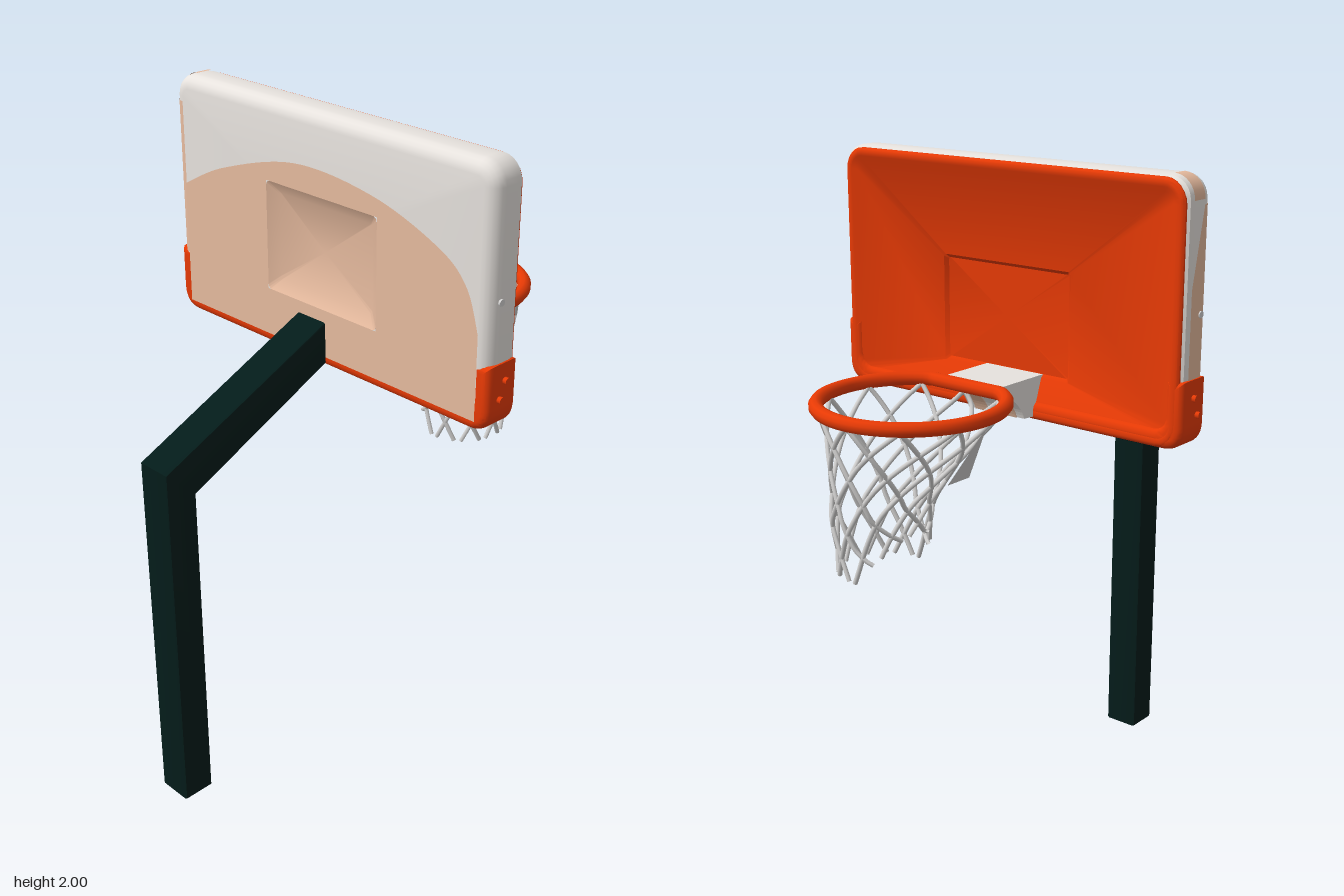
import * as THREE from 'three';
import { toCreasedNormals } from 'three/addons/utils/BufferGeometryUtils.js';

// Rounded rectangle in the z-y plane: centre, half sizes, corner radius
function roundedRing({ x, cz = 0, cy = 1.632, hz, hy, r = 0 }) {
  const pts = [];
  for (let c = 0; c < 4; c++) {
    const sz = c === 0 || c === 3 ? 1 : -1, sy = c < 2 ? 1 : -1;
    for (let i = 0; i <= 6; i++) {
      const a = (c + i / 6) * Math.PI / 2;
      pts.push([x, cy + sy * (hy - r) + r * Math.sin(a), cz + sz * (hz - r) + r * Math.cos(a)]);
    }
  }
  return pts;
}

// Skin joining successive rings
function loft(specs) {
  const rings = specs.map(roundedRing), n = rings[0].length, index = [];
  for (let i = 0; i < rings.length - 1; i++) {
    for (let j = 0; j < n; j++) {
      const a = i * n + j, b = i * n + (j + 1) % n;
      index.push(a, a + n, b, b, a + n, b + n);
    }
  }
  const g = new THREE.BufferGeometry();
  g.setAttribute('position', new THREE.Float32BufferAttribute(rings.flat(2), 3));
  g.setIndex(index);
  return toCreasedNormals(g, 0.6);
}

function polygon(points) {
  return new THREE.Shape(points.map(p => new THREE.Vector2(...p)));
}

export function createModel() {
  const group = new THREE.Group();
  const mat = (name, color, side = THREE.FrontSide) => {
    const m = new THREE.MeshStandardMaterial({ color, side });
    m.name = name;
    return m;
  };
  const orange = mat('orange', 0xff4106);
  const white = mat('off white', 0xfffaf5);
  const peach = mat('faded peach', 0xffcfb0, THREE.DoubleSide);
  const green = mat('dark green', 0x041c1a);
  const grey = mat('net grey', 0xd4d3d2, THREE.DoubleSide);
  const add = (name, geometry, material, x = 0, y = 0, z = 0) => {
    const m = new THREE.Mesh(geometry, material);
    m.name = name;
    m.position.set(x, y, z);
    group.add(m);
    return m;
  };

  // Bent pole with a sloping arm
  const pole = polygon([[-0.69, 0], [-0.59, 0], [-0.59, 1.035], [-0.08, 1.275], [-0.08, 1.405], [-0.69, 1.13]]);
  const poleGeo = new THREE.ExtrudeGeometry(pole, {
    depth: 0.099, bevelSize: 0.008, bevelThickness: 0.008, bevelOffset: -0.008, bevelSegments: 2
  });
  add('pole', toCreasedNormals(poleGeo, 0.6), green, 0, 0, -0.088);

  // Board shell with soft edges; the back is open where the square recess sits
  const square = { cz: 0, cy: 1.6, hz: 0.22, hy: 0.165, r: 0.015 };
  const shellRing = (x, inset) => ({ x, hz: 0.622 - inset, hy: 0.367 - inset, r: 0.065 - inset });
  const shell = [{ x: -0.095, ...square }];
  for (let i = 0; i <= 5; i++) {
    const a = i / 5 * Math.PI / 2;
    shell.push(shellRing(-0.055 - 0.04 * Math.cos(a), 0.04 * (1 - Math.sin(a))));
  }
  shell.push(shellRing(-0.012, 0), shellRing(0.006, 0.004), shellRing(0.015, 0.016), shellRing(0.015, 0.03));
  add('boardShell', loft(shell), white);

  // Square recess in the back
  add('backRecess', loft([
    { x: -0.075, cy: 1.6, hz: 0, hy: 0 },
    { x: -0.075, cy: 1.6, hz: 0.185, hy: 0.13, r: 0.01 },
    { x: -0.0965, ...square }
  ]), peach);

  // Faded area on the back, ending in an arch
  const faded = new THREE.Shape();
  faded.moveTo(-0.585, 1.29);
  faded.lineTo(0.585, 1.29);
  faded.lineTo(0.585, 1.54);
  faded.splineThru([[0.54, 1.66], [0.44, 1.74], [0.2, 1.82], [-0.1, 1.84], [-0.4, 1.76], [-0.585, 1.67]]
    .map(p => new THREE.Vector2(...p)));
  const hole = new THREE.Path();
  hole.moveTo(-0.22, 1.435);
  hole.lineTo(-0.22, 1.765).lineTo(0.22, 1.765).lineTo(0.22, 1.435).closePath();
  faded.holes.push(hole);
  add('fadedBack', new THREE.ShapeGeometry(faded).rotateY(-Math.PI / 2), peach, -0.0965);
  // Faded patches wrapping the rounded side edge and the upper corner
  add('fadedEdge', new THREE.CylinderGeometry(0.0415, 0.0415, 0.47, 8, 1, true, Math.PI, Math.PI / 2),
    peach, -0.055, 1.685, -0.582);
  const side = polygon([[-0.055, 1.45], [-0.008, 1.45], [-0.008, 1.7], [-0.055, 1.92]]);
  add('fadedSide', new THREE.ShapeGeometry(side), peach, 0, 0, -0.6235);
  add('fadedCorner', new THREE.CylinderGeometry(0.0665, 0.0665, 0.05, 8, 1, true, Math.PI / 2, Math.PI / 2)
    .rotateZ(Math.PI / 2), peach, -0.03, 1.934, -0.557);

  // Front panel: raised lip, then slopes falling to a stepped central square
  const face = (x, inset) => ({ x, cy: 1.628, hz: 0.615 - inset, hy: 0.367 - inset, r: 0.07 - inset });
  const target = { cz: 0.012, cy: 1.54, r: 0.008 };
  add('frontPanel', loft([
    face(0, 0.004), face(0.017, 0.004), face(0.023, 0.009), face(0.025, 0.016), face(0.024, 0.028), face(0.014, 0.042),
    { x: -0.012, ...target, hz: 0.235, hy: 0.16 },
    { x: -0.022, ...target, hz: 0.224, hy: 0.15 },
    { x: -0.022, cz: 0.012, cy: 1.54, hz: 0, hy: 0 }
  ]), orange);

  // Padding along the bottom edge and lower corners, rounded front and back
  const trim = new THREE.Shape();
  trim.moveTo(-0.628, 1.457);
  trim.lineTo(-0.628, 1.33);
  trim.quadraticCurveTo(-0.628, 1.26, -0.558, 1.26);
  trim.lineTo(0.558, 1.26);
  trim.quadraticCurveTo(0.628, 1.26, 0.628, 1.33);
  trim.lineTo(0.628, 1.457);
  trim.lineTo(0.57, 1.457);
  trim.lineTo(0.57, 1.36);
  trim.quadraticCurveTo(0.57, 1.315, 0.525, 1.315);
  trim.lineTo(-0.525, 1.315);
  trim.quadraticCurveTo(-0.57, 1.315, -0.57, 1.36);
  trim.lineTo(-0.57, 1.457);
  const trimGeo = new THREE.ExtrudeGeometry(trim, {
    depth: 0.076, bevelSize: 0.022, bevelThickness: 0.022, bevelOffset: -0.022, bevelSegments: 4
  }).rotateY(-Math.PI / 2);
  add('bottomPadding', toCreasedNormals(trimGeo, 0.6), orange, 0.002);
  // Square upper ends of the padding
  for (const s of [-1, 1]) {
    add('paddingEnd', new THREE.BoxGeometry(0.076, 0.06, 0.03), orange, -0.036, 1.427, s * 0.613);
  }

  // Side bolts
  for (const s of [-1, 1]) {
    const bolt = (x, y, z, m) => add('bolt',
      new THREE.CylinderGeometry(0.01, 0.01, 0.02, 10).rotateX(Math.PI / 2), m, x, y, s * z);
    bolt(-0.03, 1.405, 0.63, orange);
    bolt(-0.05, 1.355, 0.63, orange);
    bolt(-0.055, 1.63, 0.617, grey);
  }

  // Bracket between board and rim
  const bracket = new THREE.Shape();
  bracket.moveTo(-0.02, 1.27);
  bracket.lineTo(0.065, 1.275);
  bracket.quadraticCurveTo(0.09, 1.34, 0.17, 1.365);
  bracket.lineTo(0.17, 1.39);
  bracket.lineTo(-0.02, 1.39);
  add('bracket', new THREE.ExtrudeGeometry(bracket, { depth: 0.21, bevelEnabled: false }), white, 0, 0, -0.122);
  // Faded strips on the curved underside of the bracket
  const strip = new THREE.Shape();
  strip.moveTo(0.067, 1.274);
  strip.quadraticCurveTo(0.092, 1.338, 0.17, 1.363);
  strip.lineTo(0.17, 1.366);
  strip.quadraticCurveTo(0.089, 1.341, 0.064, 1.276);
  for (const z of [-0.095, 0.01]) {
    add('bracketStrip', new THREE.ExtrudeGeometry(strip, { depth: 0.05, bevelEnabled: false }), peach, 0, 0, z);
  }

  // Rim: a ring flattened against the bracket
  const rimPts = [];
  for (let i = 0; i < 64; i++) {
    const a = i / 64 * Math.PI * 2;
    rimPts.push(new THREE.Vector3(Math.max(0.182, 0.407 + 0.26 * Math.cos(a)), 1.377, 0.26 * Math.sin(a)));
  }
  add('rim', new THREE.TubeGeometry(new THREE.CatmullRomCurve3(rimPts, true), 96, 0.021, 10, true), orange);

  // Net: crossing spiral strands, narrowing, swinging aside and lifted at the back
  const netPoint = (a, t) => {
    const r = 0.13 + 0.122 * Math.pow(1 - t, 1.9), k = Math.min(1, t * 1.5);
    const x = 0.407 + 0.062 * k + r * Math.cos(a), z = 0.06 * k + r * Math.sin(a);
    const bottom = 0.89 + 1.3 * Math.max(0, 0.04 - z) * t;
    return new THREE.Vector3(Math.max(0.185, x), THREE.MathUtils.lerp(1.365, bottom, t), z);
  };
  const net = new THREE.Group();
  net.name = 'net';
  const strands = 10;
  for (let i = 0; i < strands; i++) {
    for (const dir of [-1, 1]) {
      const pts = [];
      for (let j = 0; j <= 14; j++) {
        const t = j / 14;
        pts.push(netPoint(i / strands * Math.PI * 2 + dir * t * 1.8, t));
      }
      const strand = new THREE.Mesh(new THREE.TubeGeometry(new THREE.CatmullRomCurve3(pts), 28, 0.007, 6), grey);
      strand.name = 'netStrand';
      net.add(strand);
    }
  }
  group.add(net);

  // Small webbed patch in the net
  const web = new THREE.BufferGeometry().setFromPoints([
    new THREE.Vector3(0.36, 1.34, -0.23), new THREE.Vector3(0.33, 1.17, -0.14), new THREE.Vector3(0.42, 1.17, -0.14)
  ]);
  web.computeVertexNormals();
  add('netPatch', web, grey);

  return group;
}
